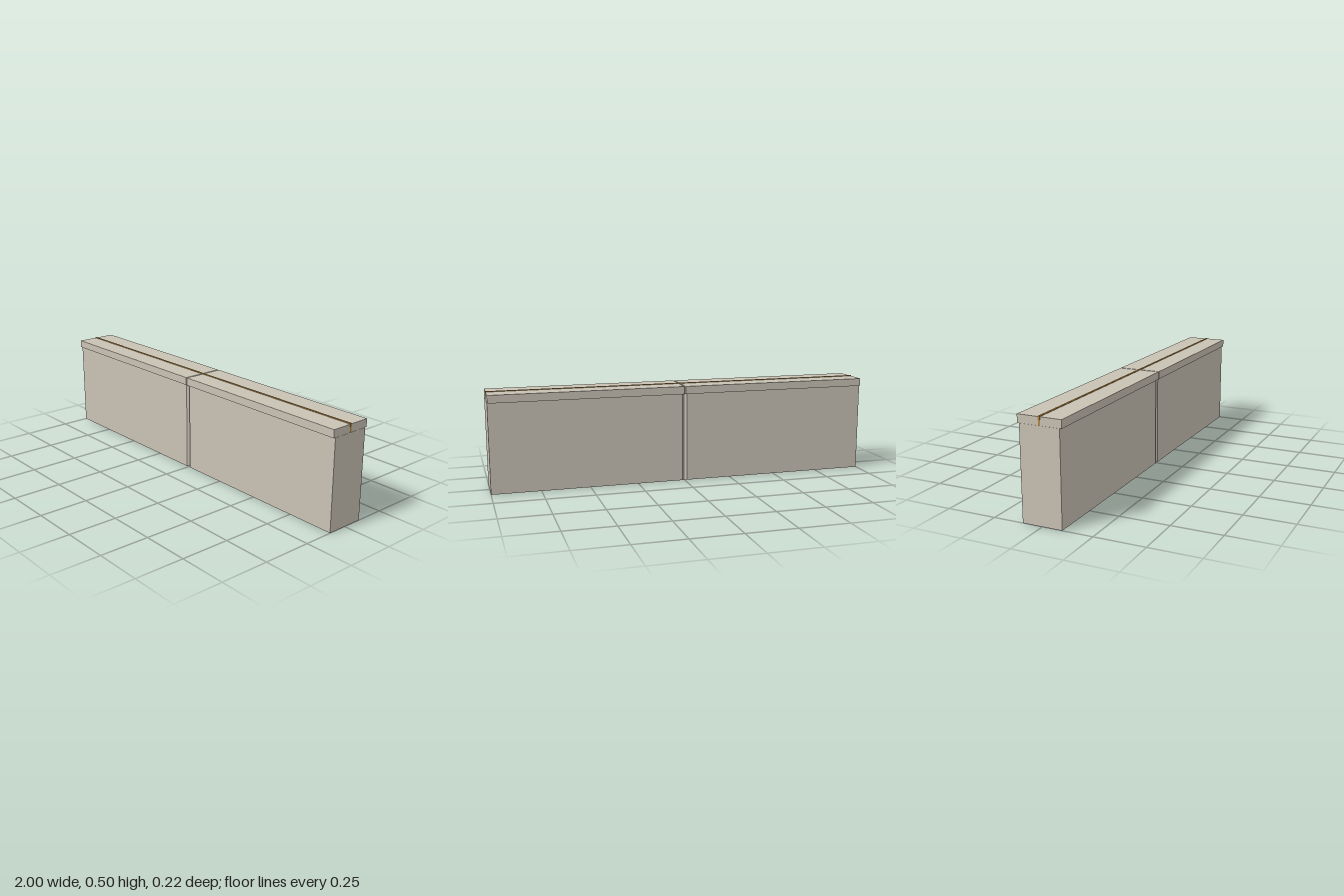
import * as THREE from 'three';

const stone = new THREE.MeshStandardMaterial({ color: 0xc9c2b5, side: THREE.DoubleSide });
stone.name = 'stone';
const brass = new THREE.MeshStandardMaterial({ color: 0xb5873f });
brass.name = 'brass';

// Lofts box sections along x, pinched by a V-shaped joint in the middle.
function loftBlock({ length, halfDepth, bottom, top, joint, inset, pinchTop, closed }) {
  const half = length / 2;
  const stations = [[-half, 0], [-joint, 0], [0, inset], [joint, 0], [half, 0]];
  const rings = stations.map(([x, cut]) => {
    const z = halfDepth - cut;
    const y = top - (pinchTop ? cut : 0);
    return [[x, bottom, z], [x, y, z], [x, y, -z], [x, bottom, -z]];
  });
  const positions = [];
  const quad = (a, b, c, d) => positions.push(...a, ...b, ...c, ...a, ...c, ...d);
  const sides = closed ? 4 : 3; // three sides leave the underside open
  for (let i = 0; i < rings.length - 1; i++) {
    for (let j = 0; j < sides; j++) {
      const k = (j + 1) % 4;
      quad(rings[i][j], rings[i + 1][j], rings[i + 1][k], rings[i][k]);
    }
  }
  quad(...rings[0]);
  quad(...rings[rings.length - 1].slice().reverse());
  const geometry = new THREE.BufferGeometry();
  geometry.setAttribute('position', new THREE.Float32BufferAttribute(positions, 3));
  geometry.computeVertexNormals();
  return geometry;
}

function addPart(group, name, geometry, material) {
  const mesh = new THREE.Mesh(geometry, material);
  mesh.name = name;
  group.add(mesh);
  return mesh;
}

export function createModel() {
  const group = new THREE.Group();
  group.name = 'lowWall';

  // Hollow wall, open underneath, with a vertical joint on both faces
  addPart(group, 'wallBody', loftBlock({
    length: 2, halfDepth: 0.1, bottom: 0, top: 0.46,
    joint: 0.012, inset: 0.01, pinchTop: false, closed: false,
  }), stone);

  // Overhanging coping with a finer joint around it
  addPart(group, 'coping', loftBlock({
    length: 1.998, halfDepth: 0.11, bottom: 0.46, top: 0.5,
    joint: 0.004, inset: 0.005, pinchTop: true, closed: true,
  }), stone);

  // Narrow metal strip let into the coping along its whole length
  const strip = addPart(group, 'inlayStrip', new THREE.BoxGeometry(2, 0.042, 0.01), brass);
  strip.position.y = 0.482;

  return group;
}
